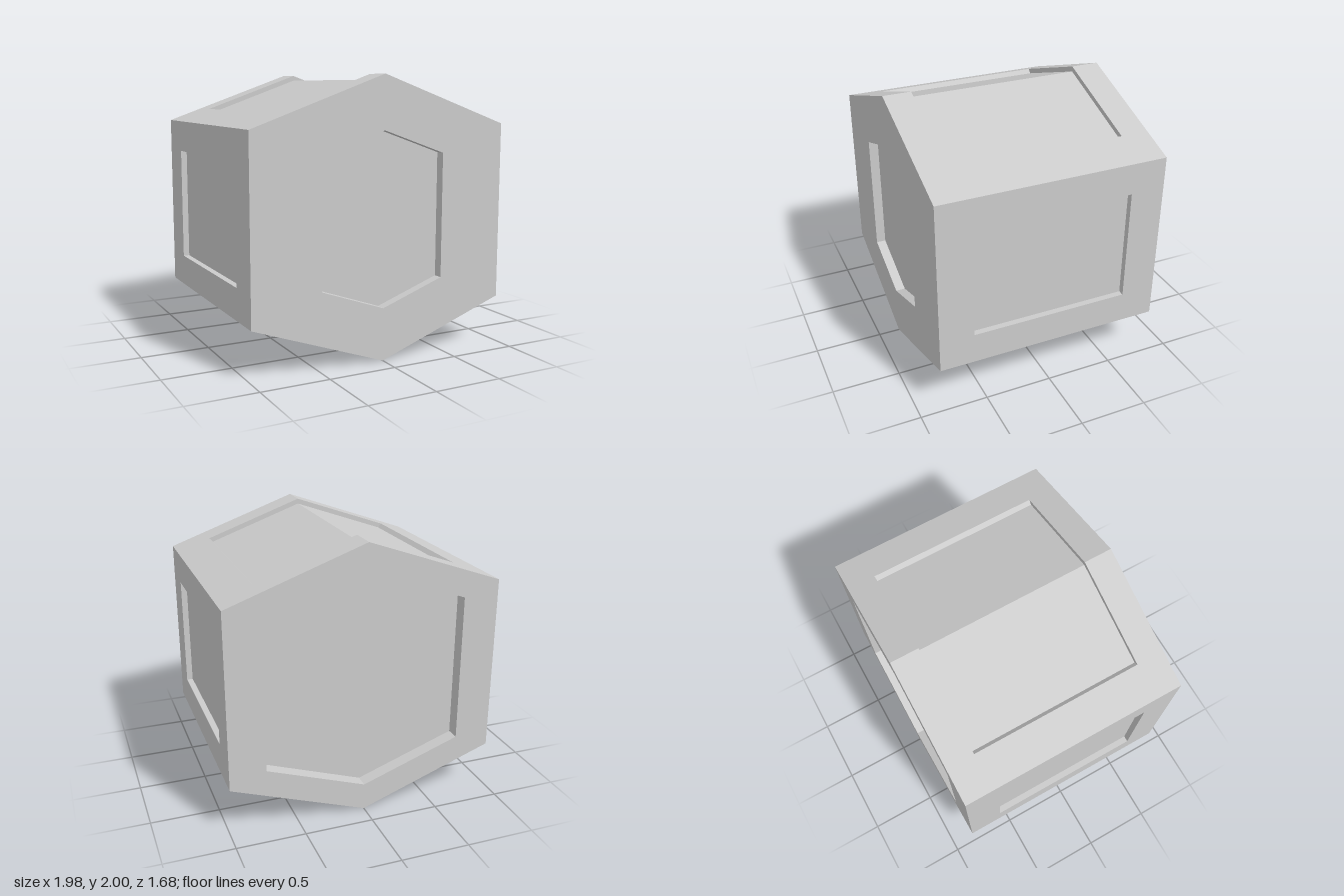
import * as THREE from 'three';

const W = 0.99, H = 0.647, T = 1, D = 0.84; // half width, shoulder height, ridge height, half depth

// Joins matching loops (counter-clockwise from outside) and closes the last one with a floor.
function recessedPanel(name, material, loops) {
  const pos = [];
  const quad = (a, b, c, d) => pos.push(...a, ...b, ...c, ...a, ...c, ...d);
  const n = loops[0].length;
  for (let k = 0; k < loops.length - 1; k++) {
    for (let i = 0; i < n; i++) {
      const j = (i + 1) % n;
      quad(loops[k][i], loops[k][j], loops[k + 1][j], loops[k + 1][i]);
    }
  }
  const floor = loops[loops.length - 1];
  for (let i = 0; i < n / 2 - 1; i++) quad(floor[i], floor[i + 1], floor[n - 2 - i], floor[n - 1 - i]);
  const geo = new THREE.BufferGeometry();
  geo.setAttribute('position', new THREE.Float32BufferAttribute(pos, 3));
  geo.computeVertexNormals();
  const mesh = new THREE.Mesh(geo, material);
  mesh.name = name;
  return mesh;
}

// Loop shapes: hexagon facing +z, rectangle facing +x, folded sheet facing +y
const hexagon = (a, h, t, z) =>
  [[-a, h, z], [-a, -h, z], [0, -t, z], [a, -h, z], [a, h, z], [0, t, z]];
const rectangle = (x, h, d) => [[x, -h, d], [x, -h, -d], [x, h, -d], [x, h, d]];
const gable = (a, h, t, d) =>
  [[-a, h, d], [0, t, d], [a, h, d], [a, h, -d], [0, t, -d], [-a, h, -d]];

export function createModel() {
  const group = new THREE.Group();
  group.name = 'recessedHexagonalPrism';
  const material = new THREE.MeshStandardMaterial({ color: 0xcccccc, flatShading: true });
  const body = new THREE.Group();
  body.name = 'body';
  body.position.y = 1;
  group.add(body);

  // Hexagonal ends: small shallow recess in front, large deeper one behind
  const end = (name, a, h, t, depth) => recessedPanel(name, material, [
    hexagon(W, H, T, D), hexagon(a, h, t, D), hexagon(a, h, t, D - depth)]);
  const back = end('backPanel', 0.728, 0.543, 0.8, 0.1);
  back.rotation.y = Math.PI;
  body.add(end('frontPanel', 0.48, 0.45, 0.62, 0.07), back);

  // Side walls, and the gabled top and bottom whose recesses shrink towards the centre
  const a = 0.735, h = T - (a * (T - H)) / W, s = 0.961;
  for (const [side, end2, angle] of [['left', 'top', 0], ['right', 'bottom', Math.PI]]) {
    const wall = recessedPanel(side + 'Panel', material, [
      rectangle(W, H, D), rectangle(W, 0.417, 0.585), rectangle(W - 0.045, 0.417, 0.585)]);
    const roof = recessedPanel(end2 + 'Panel', material, [
      gable(W, H, T, D), gable(a, h, T, 0.632), gable(a * s, h * s, T * s, 0.632)]);
    wall.rotation.z = roof.rotation.z = angle;
    body.add(wall, roof);
  }
  return group;
}
